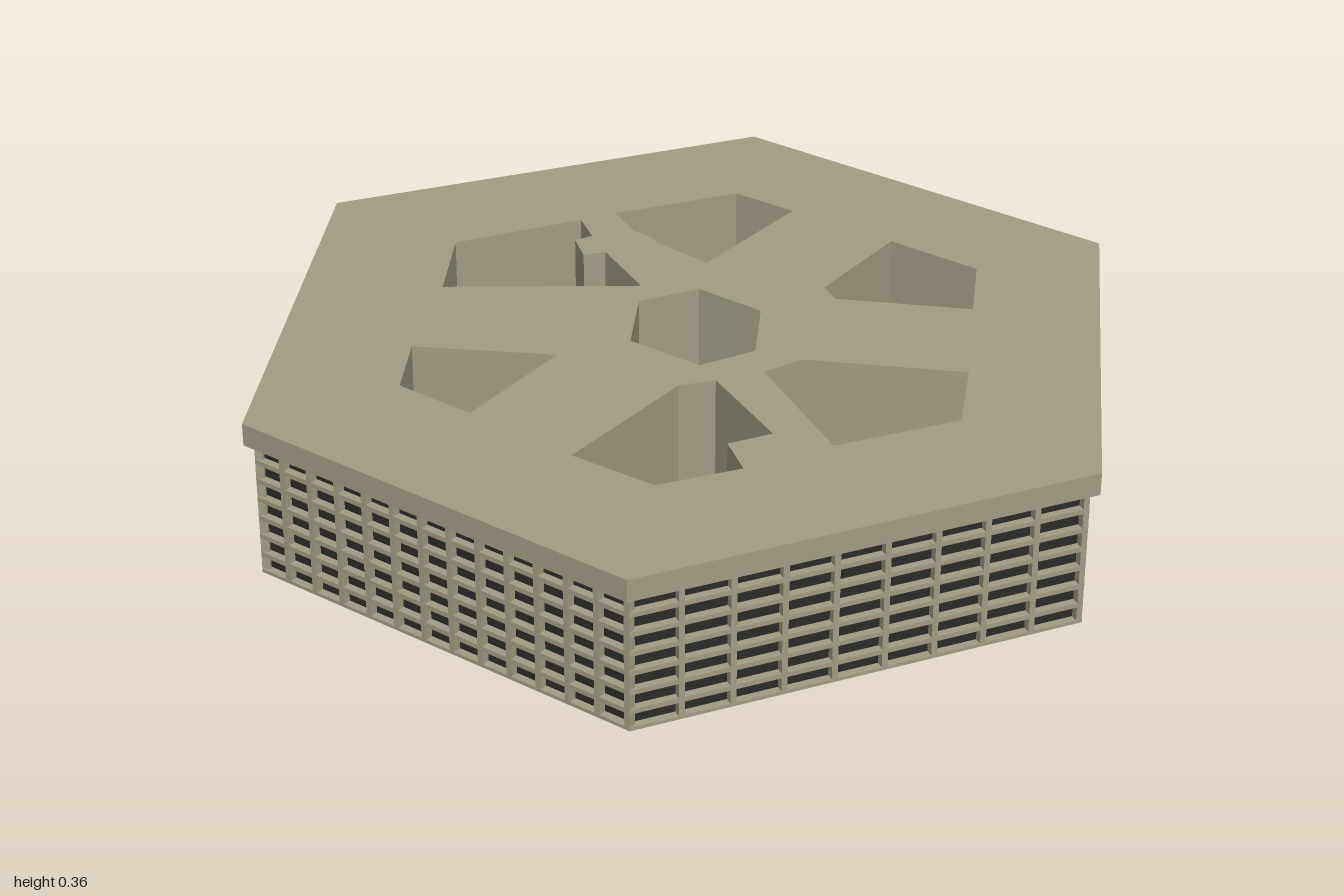
import * as THREE from 'three';
import { mergeGeometries } from 'three/addons/utils/BufferGeometryUtils.js';

const WALL_H = 0.31, ROOF_TOP = 0.36, FLOORS = 7, CENTRE_Z = 0.11;
const mat = (color, side = THREE.FrontSide) => new THREE.MeshStandardMaterial({ color, side, flatShading: true });

// plan outline and courtyards as [x, z] corners
const HEX = [[-0.5, -0.77], [0.525, -0.718], [1, 0.1], [0.505, 0.983], [-0.51, 0.974], [-1, 0.121]];
const BAYS = [13, 13, 13, 9, 13, 13];
const COURTS = [
  [[-0.32, -0.474], [-0.02, -0.469], [-0.027, -0.384], [-0.07, -0.379], [-0.08, -0.304], [-0.03, -0.299], [-0.02, -0.117], [-0.42, -0.284]],
  [[0.065, -0.469], [0.36, -0.454], [0.44, -0.32], [0.155, -0.16], [0.096, -0.294], [0.086, -0.342], [0.07, -0.364]],
  [[-0.573, -0.054], [-0.305, 0.102], [-0.56, 0.262], [-0.653, 0.096]],
  [[-0.053, -0.053], [0.09, -0.053], [0.171, 0.092], [0.086, 0.251], [-0.048, 0.262], [-0.139, 0.106]],
  [[0.578, -0.094], [0.69, 0.102], [0.594, 0.267], [0.343, 0.106], [0.343, 0.049]],
  [[-0.123, 0.325], [-0.043, 0.335], [-0.027, 0.583], [-0.128, 0.583], [-0.139, 0.685], [-0.326, 0.675], [-0.433, 0.502]],
  [[0.064, 0.342], [0.16, 0.325], [0.455, 0.513], [0.348, 0.685], [0.064, 0.675]],
];

const hexAt = (s) => HEX.map(([x, z]) => [x * s, CENTRE_Z + (z - CENTRE_Z) * s]);
const toPoints = (plan) => plan.map(([x, z]) => new THREE.Vector2(x, -z));

// extrude a plan with holes from y0 up to y1; outline runs opposite to the holes
function slab(plan, holes, y0, y1) {
  const shape = new THREE.Shape(toPoints(plan).reverse());
  shape.holes = holes.map((h) => new THREE.Path(toPoints(h)));
  const g = new THREE.ExtrudeGeometry(shape, { depth: y1 - y0, bevelEnabled: false });
  return g.rotateX(-Math.PI / 2).translate(0, y0, 0);
}

export function createModel() {
  const model = new THREE.Group();
  const stone = mat(0xa29d84), glass = mat(0x2b2b2a), wood = mat(0x6b4632, THREE.DoubleSide);
  const add = (parent, name, geometry, material) => {
    const mesh = new THREE.Mesh(geometry, material);
    mesh.name = name;
    parent.add(mesh);
    return mesh;
  };
  const box = (w, h, d, x, y, z) => new THREE.BoxGeometry(w, h, d).translate(x, y, z);

  // body with courtyards cut through, and overhanging roof
  const outer = hexAt(0.978);
  add(model, 'base', slab(outer, COURTS, 0, 0.008), stone);
  add(model, 'core', slab(hexAt(0.952), COURTS, 0.008, WALL_H), stone);
  add(model, 'roof', slab(HEX, COURTS, WALL_H, ROOF_TOP), stone);
  add(model, 'glazing', slab(hexAt(0.958), [hexAt(0.951)], 0.008, WALL_H), glass);

  // horizontal ledges at each floor
  const ledges = [];
  for (let i = 1; i < FLOORS; i++) {
    const y = (i * WALL_H) / FLOORS;
    ledges.push(slab(outer, [hexAt(0.951)], y - 0.0055, y + 0.0055));
  }
  add(model, 'floorLedges', mergeGeometries(ledges), stone);

  // vertical fins between the windows
  const fins = [], depth = 0.018;
  outer.forEach(([ax, az], k) => {
    const [bx, bz] = outer[(k + 1) % outer.length];
    const len = Math.hypot(bx - ax, bz - az);
    const nx = (bz - az) / len, nz = -(bx - ax) / len;
    for (let i = 0; i < BAYS[k]; i++) {
      const t = THREE.MathUtils.lerp(0.007, 1, i / BAYS[k]);
      const fin = new THREE.BoxGeometry(0.013, WALL_H, depth);
      fin.rotateY(Math.atan2(nx, nz));
      fin.translate(ax + (bx - ax) * t - (nx * depth) / 2, WALL_H / 2, az + (bz - az) * t - (nz * depth) / 2);
      fins.push(fin);
    }
  });
  add(model, 'windowFins', mergeGeometries(fins), stone);

  // entrance wall panel, against the back wall
  const panel = add(model, 'entrancePanel', new THREE.BoxGeometry(0.34, 0.18, 0.022), stone);
  panel.position.set(0.05, 0.09, -0.724);
  panel.rotation.y = -0.052;

  // entrance canopy: thin top, rim beams, posts, deck and ramp
  const porch = new THREE.Group();
  porch.name = 'entrancePorch';
  porch.position.set(0.018, 0, -0.857);
  porch.rotation.y = -0.075;
  model.add(porch);
  const W = 0.272, D = 0.25, T = 0.012;
  add(porch, 'canopyTop', new THREE.PlaneGeometry(W, D).rotateX(-Math.PI / 2).translate(0, 0.145, 0), stone);
  const rim = [], posts = [];
  for (const s of [-1, 1]) {
    rim.push(box(W, 0.024, T, 0, 0.132, (s * (D - T)) / 2));
    rim.push(box(T, 0.024, D - 2 * T, (s * (W - T)) / 2, 0.132, 0));
    for (const z of [-0.093, 0.115]) posts.push(box(0.02, 0.112, 0.02, s * 0.118, 0.066, z));
  }
  add(porch, 'canopyRim', mergeGeometries(rim), stone);
  add(porch, 'canopyPosts', mergeGeometries(posts), wood);
  add(porch, 'porchDeck', new THREE.PlaneGeometry(W - 0.02, D - 0.02).rotateX(-Math.PI / 2).translate(0, 0.01, 0), wood);
  const ramp = add(porch, 'entranceRamp', new THREE.BoxGeometry(0.2, 0.008, 0.11), stone);
  ramp.position.set(0, 0.028, 0.087);
  ramp.rotation.x = -0.33;

  return model;
}
